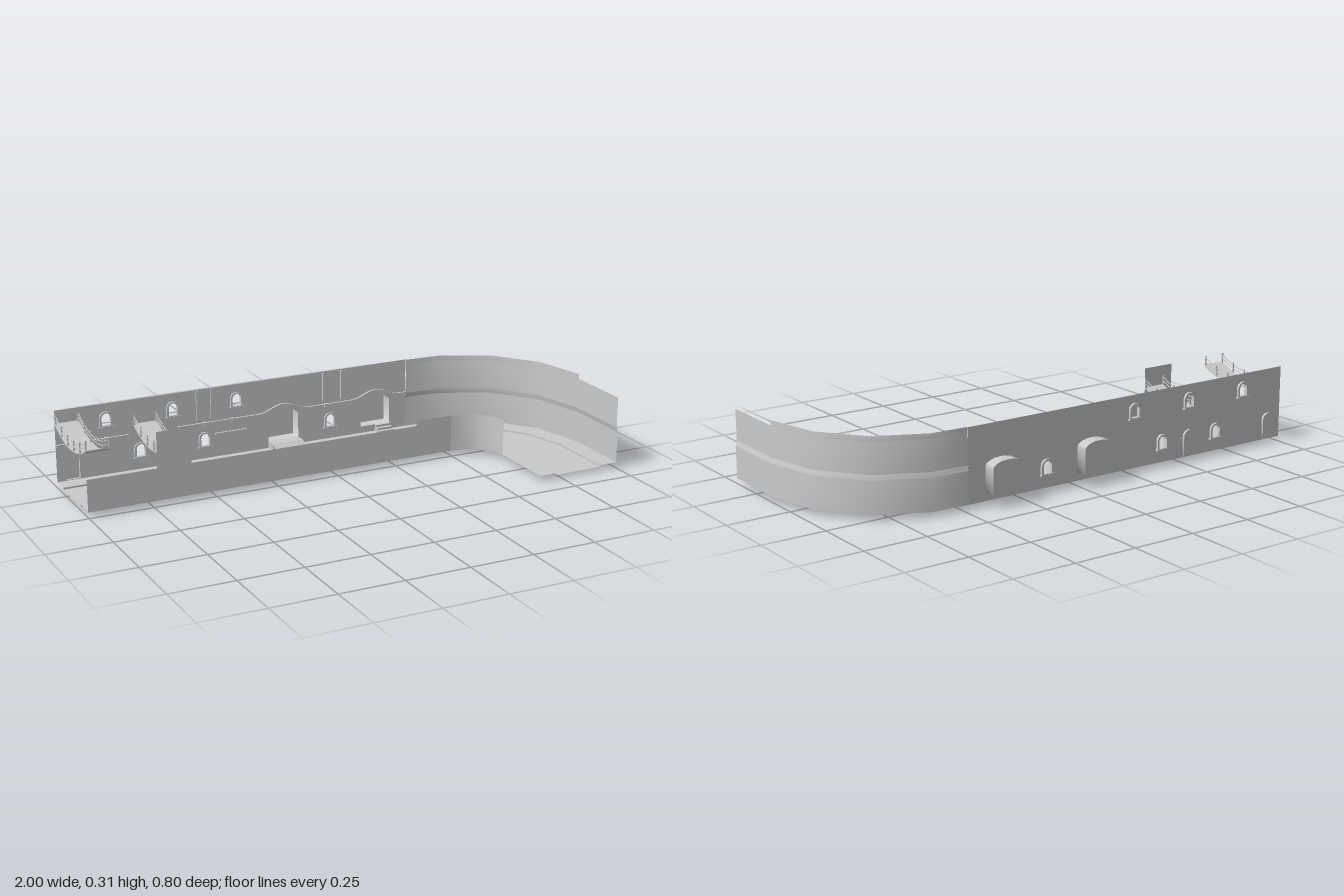
import * as THREE from 'three';

const mat = new THREE.MeshStandardMaterial({ color: 0xcccccc, side: THREE.DoubleSide });
const BACK = -0.352, FRONT = -0.01;

// Plan outlines (x, z), all with matching stations
const outer = [[-1, BACK], [0.48, BACK], [0.63, -0.343], [0.82, -0.25], [0.95, -0.08], [1, 0.13], [1, 0.4]];
const outerKerb = [[-1, -0.285], [0.48, -0.285], [0.62, -0.272], [0.76, -0.2], [0.88, -0.04], [0.925, 0.13], [0.925, 0.4]];
const innerKerb = [[-1, -0.085], [0.5, -0.085], [0.56, -0.08], [0.66, -0.01], [0.71, 0.05], [0.725, 0.13], [0.725, 0.4]];
const inner = [[-1, FRONT], [0.5, FRONT], [0.56, 0], [0.61, 0.035], [0.645, 0.085], [0.655, 0.13], [0.655, 0.4]];

export function createModel() {
  const model = new THREE.Group();

  const add = (name, geometry, parent = model) => {
    const mesh = new THREE.Mesh(geometry, mat);
    mesh.name = name;
    parent.add(mesh);
    return mesh;
  };
  const box = (name, w, h, d, x, y, z, parent) => {
    const mesh = add(name, new THREE.BoxGeometry(w, h, d), parent);
    mesh.position.set(x, y, z);
    return mesh;
  };
  // Strip between two polylines of [x, y, z]
  const strip = (name, a, b, parent) => {
    const pos = [], idx = [];
    a.forEach((p, i) => {
      pos.push(...p, ...b[i]);
      const k = i * 2;
      if (i) idx.push(k - 2, k - 1, k, k, k - 1, k + 1);
    });
    const g = new THREE.BufferGeometry();
    g.setAttribute('position', new THREE.Float32BufferAttribute(pos, 3));
    g.setIndex(idx);
    g.computeVertexNormals();
    return add(name, g, parent);
  };
  const at = (path, y) => path.map(([x, z]) => [x, y, z]);
  const inset = (path, d) => path.map(([x, z], i) => {
    const k = Math.min(i / 4, 1);
    return [x - d * k, z + d * (1 - k)];
  });

  // Street floor: sunken middle, raised walkways
  strip('outerWalkway', at(outer, 0.023), at(outerKerb, 0.023));
  strip('outerKerb', at(outerKerb, 0.023), at(outerKerb, 0.016));
  strip('roadway', at(outerKerb, 0.016), at(innerKerb, 0.016));
  strip('innerKerb', at(innerKerb, 0.016), at(innerKerb, 0.023));
  strip('innerWalkway', at(innerKerb, 0.023), at(inner, 0.023));

  // Curved outer wall: lower part, sloping ledge, upper part; lower top on the last stretch
  const bend = outer.slice(1), upper = inset(bend, 0.005);
  strip('outerWallLower', at(bend, 0.02), at(bend, 0.145));
  strip('outerWallLedge', at(bend, 0.145), at(upper, 0.165));
  strip('outerWallUpper', at(upper, 0.165), at(upper, 0.285));
  strip('outerWallTop', at(upper.slice(0, -1), 0.285), at(upper.slice(0, -1), 0.305));

  // Low inner wall with the raised bridge landing
  const poly = (pts) => new THREE.Shape(pts.map(([x, y]) => new THREE.Vector2(x, y)));
  add('innerWall', new THREE.ShapeGeometry(poly([[-1, 0.02], [0.5, 0.02], [0.5, 0.165], [0.36, 0.165],
    [0.34, 0.145], [-0.595, 0.145], [-0.595, 0.285], [-0.73, 0.285], [-0.73, 0.145], [-1, 0.145]])))
    .position.z = FRONT;
  const innerBend = inner.slice(1, 6);
  strip('innerWallBend', at(innerBend, 0.02), at(innerBend, 0.165));

  // Arched outline: x centre, base, springing height, width, rise
  const archPts = (x, y0, y1, w, rise) => {
    const pts = [[x - w / 2, y0], [x + w / 2, y0]];
    for (let i = 0; i <= 8; i++) {
      const a = Math.PI * i / 8;
      pts.push([x + Math.cos(a) * w / 2, y1 + Math.sin(a) * rise]);
    }
    return pts;
  };

  // Long wall with openings
  const wall = poly([[-1, 0.02], [0.48, 0.02], [0.48, 0.305], [-1, 0.305]]);
  const cut = (pts) => wall.holes.push(new THREE.Path(pts.map(([x, y]) => new THREE.Vector2(x, y))));

  // Arched windows with surrounds and sills
  const windows = [[-0.8, 0.218], [-0.53, 0.218], [-0.265, 0.218], [-0.665, 0.075], [-0.4, 0.075], [0.14, 0.075]];
  for (const [x, y] of windows) {
    const hole = archPts(x, y, y + 0.032, 0.036, 0.017);
    cut(hole);
    const frame = poly(archPts(x, y - 0.005, y + 0.032, 0.052, 0.024));
    frame.holes.push(new THREE.Path(hole.map(([a, b]) => new THREE.Vector2(a, b))));
    const g = new THREE.ExtrudeGeometry(frame, { depth: 0.016, bevelEnabled: false });
    add('windowFrame', g.translate(0, 0, BACK - 0.009));
    box('windowSill', 0.06, 0.006, 0.02, x, y - 0.005, BACK - 0.001);
  }

  // Recessed doors and deep arched alcoves projecting behind the wall
  const recess = (name, pts, depth) => {
    cut(pts);
    const loop = [...pts, pts[0]], group = new THREE.Group();
    group.name = name;
    strip(name + 'Sides', loop.map(([x, y]) => [x, y, BACK]), loop.map(([x, y]) => [x, y, BACK - depth]), group);
    add(name + 'Back', new THREE.ShapeGeometry(poly(pts)), group).position.z = BACK - depth;
    model.add(group);
  };
  for (const x of [-0.935, -0.53]) recess('door', archPts(x, 0.025, 0.105, 0.052, 0.022), 0.009);
  for (const x of [-0.065, 0.342]) recess('alcove', archPts(x, 0.05, 0.15, 0.13, 0.026), 0.048);
  add('longWall', new THREE.ShapeGeometry(wall)).position.z = BACK;

  // Shallow pilasters on the upper wall
  for (const x of [-0.43, -0.37, 0.11, 0.19]) box('pilaster', 0.008, 0.115, 0.006, x, 0.242, BACK + 0.003);

  // Moulding that rises over the alcoves
  const bump = (x, c) => Math.abs(x - c) < 0.11 ? 0.015 * (1 + Math.cos((x - c) / 0.11 * Math.PI)) : 0;
  const moulding = (x0, x1) => {
    const n = Math.ceil((x1 - x0) / 0.02), lo = [], hi = [], loB = [], hiB = [];
    for (let i = 0; i <= n; i++) {
      const x = x0 + (x1 - x0) * i / n, y = 0.162 + bump(x, -0.065) + bump(x, 0.342);
      lo.push([x, y, BACK + 0.008]); hi.push([x, y + 0.008, BACK + 0.008]);
      loB.push([x, y, BACK]); hiB.push([x, y + 0.008, BACK]);
    }
    strip('mouldingFace', lo, hi);
    strip('mouldingTop', hi, hiB);
    strip('mouldingUnderside', loB, lo);
  };
  moulding(-1, -0.71);
  moulding(-0.515, 0.48);
  for (const x of [-0.955, -0.8, -0.4, -0.285, 0.12]) box('mouldingBoss', 0.018, 0.013, 0.012, x, 0.166, BACK + 0.007);

  // Platform with a ramp before the first alcove, steps before the second
  box('platform', 0.13, 0.028, 0.045, -0.065, 0.036, BACK + 0.023);
  strip('platformRamp', [[-0.13, 0.05, -0.307], [0, 0.05, -0.307]], [[-0.13, 0.023, -0.272], [0, 0.023, -0.272]]);
  for (let i = 0; i < 3; i++) box('step', 0.065, 0.009, 0.014 * (3 - i), 0.375, 0.0275 + 0.009 * i, BACK + 0.007 * (3 - i));

  // Thin hanging bar over the street
  box('hangingBar', 0.13, 0.006, 0.008, -0.335, 0.155, -0.245);

  // Drains under the floor
  for (const [x, z] of [[-0.84, -0.098], [-0.4, -0.098], [0.14, -0.098], [-0.535, -0.262]])
    box('drain', 0.024, 0.024, 0.022, x, 0.012, z);

  // Sagging footbridges with railings
  const mid = (BACK + FRONT) / 2, span = FRONT - BACK;
  const bridge = (x, w, yEnd, sag) => {
    const group = new THREE.Group();
    group.name = 'footbridge';
    const height = (z) => yEnd - sag * (1 - (2 * (z - mid) / span) ** 2);
    const sagging = (name, bw, bh, bx, lift) => {
      const g = new THREE.BoxGeometry(bw, bh, span, 1, 1, 10).translate(bx, lift, mid);
      const p = g.attributes.position;
      for (let i = 0; i < p.count; i++) p.setY(i, p.getY(i) + height(p.getZ(i)));
      g.computeVertexNormals();
      add(name, g, group);
    };
    sagging('deck', w, 0.005, x, 0);
    for (const s of [-1, 1]) {
      const rx = x + s * (w / 2 - 0.003);
      sagging('upperRail', 0.003, 0.003, rx, 0.033);
      sagging('lowerRail', 0.003, 0.003, rx, 0.018);
      for (let i = 0; i <= 5; i++) {
        const z = BACK + 0.004 + (span - 0.008) * i / 5;
        box('post', 0.005, 0.044, 0.005, rx, height(z) + 0.02, z, group);
      }
    }
    model.add(group);
  };
  bridge(-0.952, 0.095, 0.252, 0.045);
  bridge(-0.643, 0.095, 0.205, 0.045);

  return model;
}
